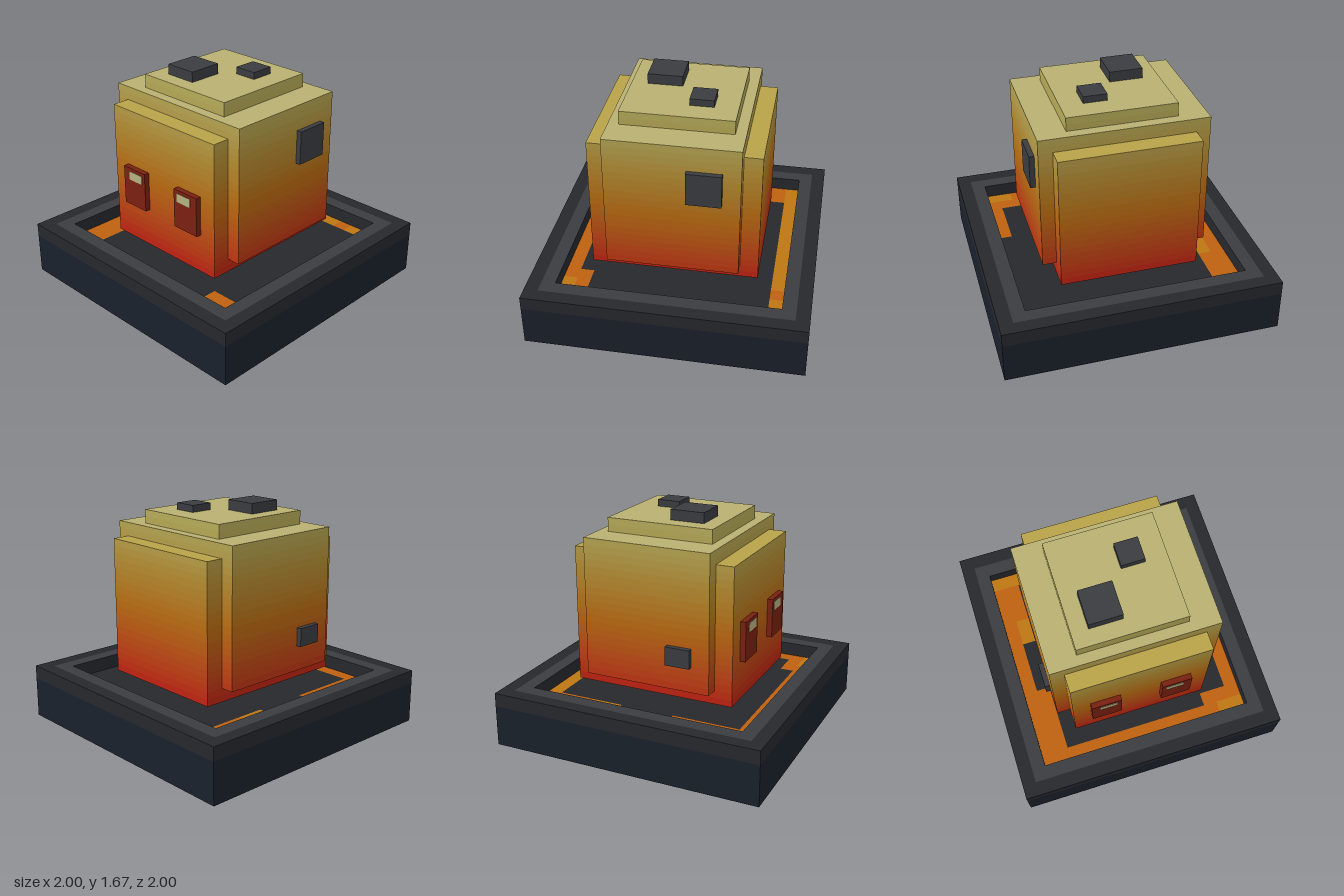
import * as THREE from 'three';
import { mergeGeometries } from 'three/addons/utils/BufferGeometryUtils.js';

const material = (color, side = THREE.FrontSide) =>
  new THREE.MeshStandardMaterial({ color, side });
const dark = 0x26282c, grey = 0x3a3c40, navy = 0x1a212b;

function add(parent, name, geometry, color, side) {
  const mesh = new THREE.Mesh(geometry, material(color, side));
  mesh.name = name;
  parent.add(mesh);
  return mesh;
}

// Solid box given by its limits on each axis
function block(parent, name, [x0, x1], [y0, y1], [z0, z1], color) {
  const geometry = new THREE.BoxGeometry(x1 - x0, y1 - y0, z1 - z0);
  add(parent, name, geometry, color)
    .position.set((x0 + x1) / 2, (y0 + y1) / 2, (z0 + z1) / 2);
}

// Box walls with optional top and bottom
function sleeve(w, d, y0, y1, top = false, bottom = false) {
  const geometry = new THREE.BoxGeometry(w, y1 - y0, d);
  const index = Array.from(geometry.index.array);
  geometry.setIndex([
    ...index.slice(0, 12),
    ...(top ? index.slice(12, 18) : []),
    ...(bottom ? index.slice(18, 24) : []),
    ...index.slice(24),
  ]);
  geometry.clearGroups();
  return geometry.translate(0, (y0 + y1) / 2, 0);
}

// Flat square ring facing up
function ring(outer, inner, y) {
  const square = (Type, r) => new Type([[-r, -r], [r, -r], [r, r], [-r, r]]
    .map(([x, z]) => new THREE.Vector2(x, z)));
  const shape = square(THREE.Shape, outer);
  shape.holes.push(square(THREE.Path, inner));
  return new THREE.ShapeGeometry(shape).rotateX(-Math.PI / 2).translate(0, y, 0);
}

// Flat floor tiles, each as [x0, x1, z0, z1]
const tiles = (list, y) => mergeGeometries(list.map(([x0, x1, z0, z1]) =>
  new THREE.PlaneGeometry(x1 - x0, z1 - z0).rotateX(-Math.PI / 2)
    .translate((x0 + x1) / 2, y, (z0 + z1) / 2)));

// Colour of the body by height, from red through orange to pale yellow
const stops = [[0.4, 0xc01c10], [0.65, 0xbd4614], [0.95, 0xb96c10],
  [1.25, 0xb48c30], [1.6, 0xb6ae5c]];
function heat(y) {
  let i = 0;
  while (i < stops.length - 2 && y > stops[i + 1][0]) i++;
  const [[y0, c0], [y1, c1]] = [stops[i], stops[i + 1]];
  return new THREE.Color(c0).lerp(new THREE.Color(c1), (y - y0) / (y1 - y0));
}

// Body box made of colour bands
function heatBox(parent, name, w, d, y0, y1, topColor) {
  const group = new THREE.Group();
  group.name = name;
  const n = Math.round((y1 - y0) / 0.05), step = (y1 - y0) / n;
  for (let i = 0; i < n; i++) {
    const y = y0 + i * step;
    add(group, 'band', sleeve(w, d, y, y + step, false, i === 0), heat(y + step / 2));
  }
  add(group, 'topFace', tiles([[-w / 2, w / 2, -d / 2, d / 2]], y1), topColor);
  parent.add(group);
}

export function createModel() {
  const model = new THREE.Group();

  // Hollow base with an open underside
  const base = new THREE.Group();
  base.name = 'base';
  model.add(base);
  const both = THREE.DoubleSide;
  add(base, 'lowerWall', sleeve(2, 2, 0, 0.3), navy, both);
  add(base, 'upperWall', sleeve(2, 2, 0.3, 0.4), dark, both);
  add(base, 'outerRim', ring(1, 0.9, 0.4), dark, both);
  add(base, 'innerRim', ring(0.9, 0.8, 0.4), grey, both);
  add(base, 'basinWall', sleeve(1.6, 1.6, 0.3, 0.4), dark, both);

  // Sunken floor: dark crust edged with lava
  add(base, 'crust', tiles([
    [-0.6, 0.8, -0.7, 0.2], [-0.7, -0.6, -0.2, 0.2],
    [-0.6, 0.7, 0.2, 0.6], [-0.6, 0.5, 0.6, 0.7],
  ], 0.3), dark, both);
  add(base, 'lava', tiles([
    [-0.8, -0.7, -0.7, 0.8], [-0.7, -0.6, -0.7, -0.4], [-0.7, -0.6, 0.2, 0.8],
    [-0.6, 0.6, 0.7, 0.8], [0.5, 0.8, 0.6, 0.7], [0.7, 0.8, 0.2, 0.6],
    [0.5, 0.6, -0.8, -0.7],
  ], 0.3), 0xbd6010, both);
  add(base, 'brightLava', tiles([
    [-0.8, 0.5, -0.8, -0.7], [0.6, 0.8, -0.8, -0.7],
    [-0.7, -0.6, -0.4, -0.2], [0.6, 0.8, 0.7, 0.8],
  ], 0.3), 0xbd7614, both);

  // Body: wide core, deep front and back slab, cap
  const body = new THREE.Group();
  body.name = 'body';
  model.add(body);
  heatBox(body, 'core', 1.2, 0.94, 0.5, 1.5, 0xb8b070);
  heatBox(body, 'frontBackSlab', 1, 1.2, 0.4, 1.4, 0xb8a248);
  heatBox(body, 'cap', 0.78, 0.79, 1.5, 1.6, 0xb8b070);

  // Eyes with highlights
  for (const s of [-1, 1]) {
    const span = (a, b) => (s > 0 ? [a, b] : [-b, -a]);
    block(body, 'eye', span(0.15, 0.37), [0.69, 0.98], [0.59, 0.64], 0x7a2010);
    block(body, 'eyeHighlight', span(0.18, 0.31), [0.89, 0.955], [0.63, 0.643], 0xb8b080);
  }

  // Crust patches on the top and sides
  block(body, 'crustPatch', [-0.27, -0.03], [1.59, 1.675], [0.03, 0.28], grey);
  block(body, 'crustPatch', [0.06, 0.23], [1.59, 1.65], [-0.23, -0.06], grey);
  block(body, 'crustPatch', [0.59, 0.637], [1.07, 1.315], [-0.345, -0.1], grey);
  block(body, 'crustPatch', [-0.637, -0.59], [0.685, 0.82], [0.16, 0.34], grey);

  return model;
}
